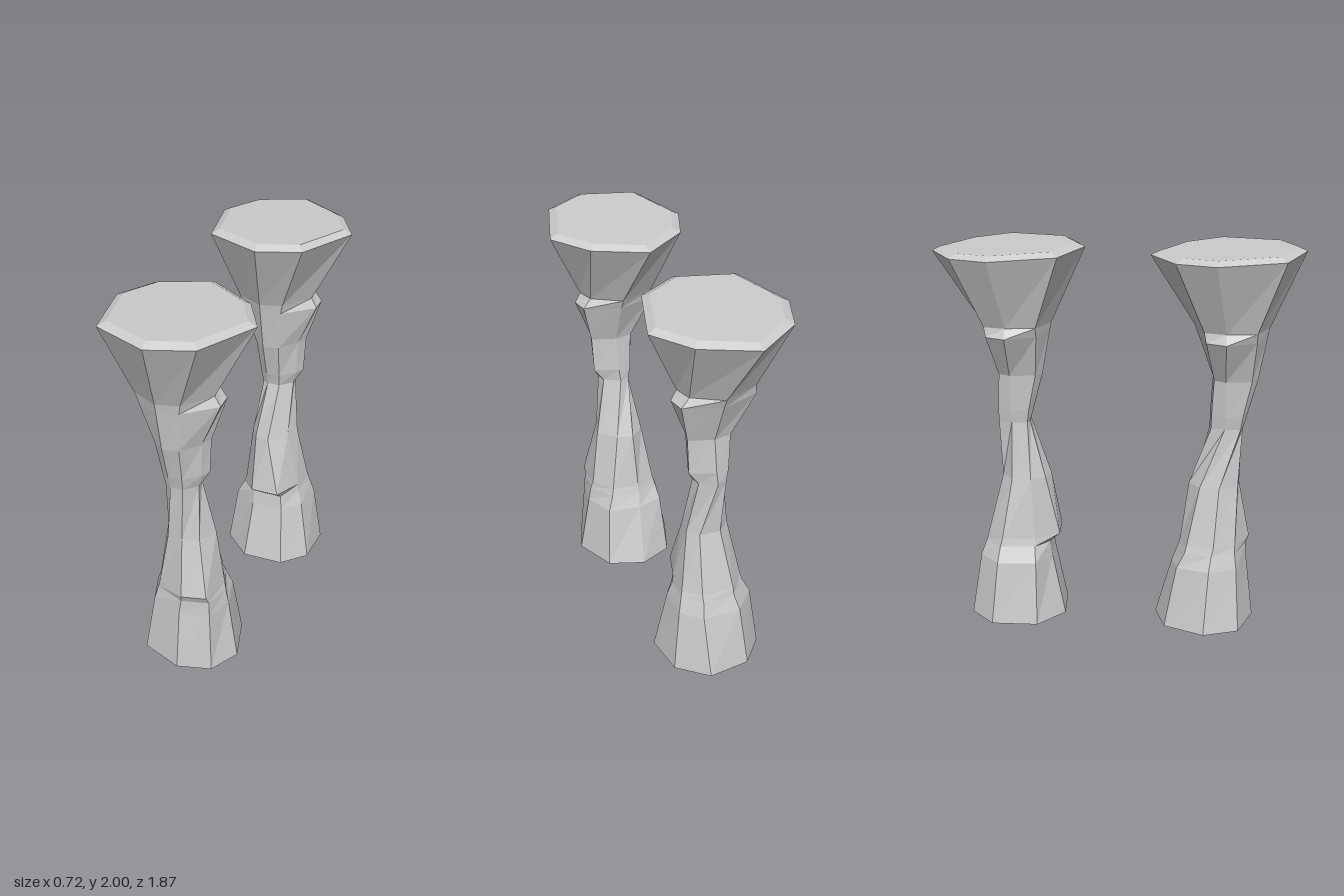
import * as THREE from 'three';

// Each ring: height, then eight [x, z] corners, counter-clockwise from the front.
const UPPER = [
  [1.955, [[.02, .38], [.23, .28], [.36, -.05], [.23, -.25], [-.03, -.39], [-.27, -.25], [-.36, -.05], [-.27, .28]]],
  [1.6, [[-.03, .21], [.08, .17], [.18, .02], [.16, -.07], [.02, -.17], [-.17, -.11], [-.19, 0], [-.17, .15]]],
  [1.55, [[-.03, .2], [.07, .165], [.21, .02], [.2, -.07], [.02, -.15], [-.18, -.1], [-.22, 0], [-.15, .15]]],
  [1.33, [[-.03, .16], [.05, .14], [.12, .04], [.14, -.02], [.02, -.07], [-.07, -.06], [-.1, 0], [-.08, .13]]],
  [1.14, [[-.03, .11], [.04, .1], [.11, .03], [.13, -.02], [.01, -.08], [-.06, -.07], [-.08, 0], [-.07, .09]]],
  [1.07, [[-.03, .09], [.035, .085], [.09, .02], [.08, -.03], [0, -.08], [-.05, -.07], [-.07, 0], [-.06, .08]]],
];

const FRONT_BASE = [
  [.76, [[-.06, .075], [.02, .08], [.1, .045], [.14, -.06], [.06, -.15], [-.02, -.18], [-.1, -.12], [-.11, -.02]]],
  [.45, [[-.12, .07], [.04, .14], [.16, .1], [.18, -.07], [.11, -.19], [-.03, -.22], [-.14, -.18], [-.17, -.04]]],
  [.41, [[-.13, .07], [.03, .125], [.165, .08], [.19, -.06], [.12, -.2], [-.03, -.23], [-.15, -.19], [-.18, -.05]]],
  [.33, [[-.15, .08], [.02, .13], [.17, .085], [.205, -.06], [.15, -.22], [-.02, -.26], [-.16, -.23], [-.21, -.06]]],
  [0, [[-.2, .1], [.02, .17], [.19, .11], [.26, -.05], [.18, -.27], [0, -.35], [-.18, -.29], [-.27, -.08]]],
];

const BACK_BASE = [
  [.77, [[-.06, .17], [.02, .19], [.1, .1], [.12, .015], [.08, -.05], [-.03, -.06], [-.1, 0], [-.11, .1]]],
  [.45, [[-.05, .24], [.1, .23], [.16, .08], [.17, -.04], [.1, -.13], [-.07, -.14], [-.16, -.05], [-.14, .12]]],
  [.41, [[-.06, .19], [.1, .18], [.165, .08], [.18, -.05], [.1, -.145], [-.07, -.15], [-.17, -.06], [-.15, .12]]],
  [.33, [[-.06, .2], [.11, .19], [.19, .09], [.2, -.07], [.11, -.17], [-.09, -.18], [-.21, -.07], [-.19, .13]]],
  [0, [[-.08, .27], [.14, .25], [.25, .12], [.24, -.1], [.1, -.24], [-.12, -.23], [-.25, -.1], [-.24, .14]]],
];

// Skins a stack of rings (top to bottom) and closes both ends
function skin(rings) {
  const n = rings[0].length;
  const positions = rings.flat(2);
  const index = [];
  for (let r = 0; r < rings.length - 1; r++) {
    for (let i = 0; i < n; i++) {
      const j = (i + 1) % n;
      const a = r * n + i, b = r * n + j, c = a + n, d = b + n;
      index.push(a, c, b, b, c, d);
    }
  }
  const last = (rings.length - 1) * n;
  for (let i = 1; i < n - 1; i++) {
    index.push(0, i, i + 1, last, last + i + 1, last + i);
  }
  const indexed = new THREE.BufferGeometry();
  indexed.setAttribute('position', new THREE.Float32BufferAttribute(positions, 3));
  indexed.setIndex(index);
  const geometry = indexed.toNonIndexed();
  geometry.computeVertexNormals();
  return geometry;
}

function createPillar(name, base, z, material) {
  const rings = [...UPPER, ...base].map(([y, corners]) => corners.map(([px, pz]) => [px, y, pz]));

  // The flared head tilts slightly and ends in a narrow bevel
  const rim = rings[0].map(([x, y, pz]) => [x, y + .025 * (pz + .39) / .77, pz]);
  const cap = rim.map(([x, y, pz]) => [x * .88, y + .022, pz * .88]);
  rings.splice(0, 1, cap, rim);

  const pillar = new THREE.Mesh(skin(rings), material);
  pillar.name = name;
  pillar.position.z = z;
  return pillar;
}

export function createModel() {
  const group = new THREE.Group();
  group.name = 'rockPillars';
  const stone = new THREE.MeshStandardMaterial({ color: 0xcccccc, flatShading: true });
  group.add(createPillar('frontPillar', FRONT_BASE, .55, stone));
  group.add(createPillar('backPillar', BACK_BASE, -.55, stone));
  return group;
}
